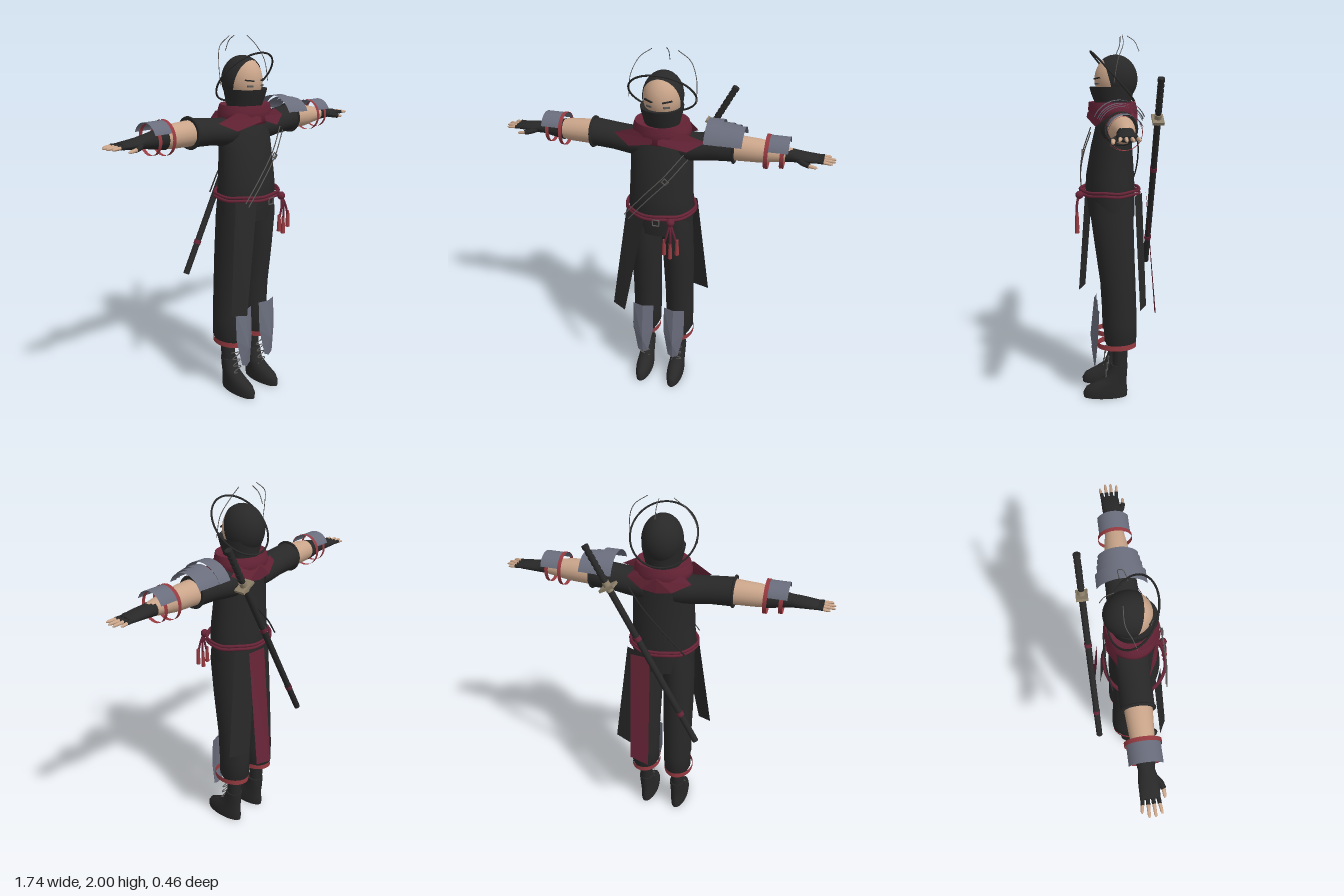
import * as THREE from 'three';
import { toCreasedNormals } from 'three/addons/utils/BufferGeometryUtils.js';

const mat = (name, color) => new THREE.MeshStandardMaterial({ name, color, side: THREE.DoubleSide });

// Elliptical cross-sections [y, centreX, centreZ, radiusX, radiusZ], bottom to top, ends capped
function loft(rows, n = 28) {
  const first = rows[0], last = rows[rows.length - 1];
  const all = [[...first.slice(0, 3), 0, 0], ...rows, [...last.slice(0, 3), 0, 0]];
  const pos = [], idx = [];
  all.forEach(([y, cx, cz, rx, rz], r) => {
    for (let i = 0; i < n; i++) {
      const a = (i / n) * Math.PI * 2;
      pos.push(cx + rx * Math.cos(a), y, cz + rz * Math.sin(a));
      if (r === 0) continue;
      const p = (r - 1) * n + i, q = (r - 1) * n + ((i + 1) % n);
      idx.push(p, p + n, q, q, p + n, q + n);
    }
  });
  const g = new THREE.BufferGeometry();
  g.setAttribute('position', new THREE.Float32BufferAttribute(pos, 3));
  g.setIndex(idx);
  return toCreasedNormals(g, 0.9);
}

// Flat sheet from its corner points
function sheet(points) {
  const pos = [];
  for (let i = 1; i < points.length - 1; i++) pos.push(...points[0], ...points[i], ...points[i + 1]);
  const g = new THREE.BufferGeometry();
  g.setAttribute('position', new THREE.Float32BufferAttribute(pos, 3));
  g.computeVertexNormals();
  return g;
}

function tube(points, r, closed = false) {
  const curve = new THREE.CatmullRomCurve3(points.map(p => new THREE.Vector3(...p)), closed);
  return new THREE.TubeGeometry(curve, points.length * 8, r, 6, closed);
}

// Mirror in x when s is negative, keeping faces outward
function side(g, s) {
  if (s > 0) return g;
  g.scale(-1, 1, 1);
  const idx = g.index ? Array.from(g.index.array) : [...Array(g.attributes.position.count).keys()];
  for (let i = 0; i < idx.length; i += 3) [idx[i + 1], idx[i + 2]] = [idx[i + 2], idx[i + 1]];
  g.setIndex(idx);
  return g;
}

// Loft along +x: rows [x, centreY, centreZ, radiusY, radiusZ]
const armLoft = rows => loft(rows.map(([x, y, z, ry, rz]) => [x, -y, z, ry, rz]), 20).rotateZ(-Math.PI / 2);

// Curved plate over an arm, from x0 to x1
const armPlate = (x0, x1, r, half) =>
  new THREE.CylinderGeometry(r, r, x1 - x0, 20, 1, true, -Math.PI / 2 - half, half * 2)
    .rotateZ(-Math.PI / 2).translate((x0 + x1) / 2, 1.54, 0);

export function createModel() {
  const root = new THREE.Group();
  const cloth = mat('black cloth', 0x282828), skin = mat('skin', 0xcaa58a);
  const steel = mat('blue grey steel', 0x6a6d7c), maroon = mat('maroon cloth', 0x672437);
  const red = mat('red strap', 0x963a40), tan = mat('tan metal', 0x8d8069), grey = mat('grey trim', 0x5c5a58);
  const add = (name, geo, m, parent = root) => {
    const mesh = new THREE.Mesh(geo, m);
    mesh.name = name;
    parent.add(mesh);
    return mesh;
  };

  // Head, hood and mask
  add('face', new THREE.SphereGeometry(1, 32, 24).scale(0.1, 0.123, 0.112).translate(0, 1.775, 0), skin);
  add('hood', new THREE.SphereGeometry(1, 32, 20, 0, Math.PI * 2, 0, 1.9)
    .rotateX(-Math.PI / 2 + 0.29).scale(0.104, 0.127, 0.117).translate(0, 1.775, 0), cloth);
  add('mask', loft([[1.58, 0, 0, 0.09, 0.085], [1.65, 0, 0.015, 0.092, 0.095],
    [1.7, 0, 0.018, 0.104, 0.112], [1.735, 0, 0.02, 0.11, 0.12], [1.728, 0, 0.02, 0.09, 0.09]]), cloth);
  for (const s of [1, -1]) {
    const brow = add('brow', new THREE.BoxGeometry(0.05, 0.007, 0.008), cloth);
    brow.position.set(s * 0.048, 1.78, 0.1);
    brow.rotation.set(0, s * 0.5, s * 0.12);
    const eye = add('eye', new THREE.BoxGeometry(0.032, 0.009, 0.008), grey);
    eye.position.set(s * 0.045, 1.752, 0.1);
    eye.rotation.y = s * 0.5;
    add('hatWire', tube([[s * 0.065, 1.998, -0.03], [s * 0.13, 1.95, -0.03],
      [s * 0.168, 1.87, 0], [s * 0.174, 1.76, 0.02]], 0.002), grey);
  }
  add('hatRearWire', tube([[0, 1.998, -0.06], [0, 1.97, -0.1], [0, 1.92, -0.125]], 0.002), grey);
  add('hatRing', new THREE.TorusGeometry(0.172, 0.005, 8, 64).rotateX(0.733).translate(0, 1.79, 0.017), cloth);

  // Shirt and scarf
  add('shirt', loft([[1.04, 0, 0.02, 0.168, 0.125], [1.18, 0, 0.03, 0.178, 0.135], [1.26, 0, 0.03, 0.172, 0.132],
    [1.42, 0, 0.022, 0.166, 0.112], [1.52, 0, 0.01, 0.168, 0.1], [1.58, 0, 0, 0.15, 0.09], [1.62, 0, 0, 0.09, 0.08]]), cloth);
  add('scarf', loft([[1.555, 0, 0.015, 0.12, 0.11], [1.58, 0, 0.015, 0.15, 0.127], [1.62, 0, 0.015, 0.152, 0.132],
    [1.657, 0, 0.018, 0.14, 0.125], [1.645, 0, 0.018, 0.1, 0.1]]), maroon);
  for (const s of [1, -1]) {
    add('scarfFlap', sheet([[0.015, 1.6, 0.15], [0.14, 1.625, 0.1], [0.24, 1.58, 0.07],
      [0.15, 1.535, 0.115], [0.015, 1.575, 0.155]].map(([x, y, z]) => [s * x, y, z])), maroon);
    add('scarfBackFlap', sheet([[0, 1.61, -0.118], [0.13, 1.62, -0.07], [0.17, 1.58, -0.07],
      [0.08, 1.54, -0.11], [0, 1.53, -0.115]].map(([x, y, z]) => [s * x, y, z])), maroon);
  }

  // Chest strap with buckle, and its run across the back
  for (const d of [-0.011, 0.011])
    add('strapEdge', tube([[-0.15 + d, 1.16 - d, 0.185], [-0.05 + d, 1.28 - d, 0.19],
      [0.06 + d, 1.4 - d, 0.175], [0.155 + d, 1.52 - d, 0.14]], 0.003), grey);
  add('strapBuckle', new THREE.TorusGeometry(0.018, 0.004, 6, 4).rotateZ(0.1).translate(0.06, 1.39, 0.182), grey);
  add('backStrap', tube([[0.155, 1.53, -0.09], [0.06, 1.42, -0.117], [-0.06, 1.29, -0.12], [-0.15, 1.18, -0.1]], 0.004), cloth);

  // Belt cords, buckle and tassels
  for (const y of [1.17, 1.188]) {
    const loop = [...Array(24)].map((_, i) => {
      const a = (i / 24) * Math.PI * 2;
      return [0.186 * Math.cos(a), y + 0.003 * Math.sin(a * 6), 0.033 + 0.163 * Math.sin(a)];
    });
    add('beltCord', tube(loop, 0.008, true), maroon);
  }
  add('beltBuckle', new THREE.TorusGeometry(0.024, 0.005, 6, 4, Math.PI * 2).rotateZ(Math.PI / 4).translate(0.015, 1.155, 0.2), grey);
  add('beltKnot', new THREE.SphereGeometry(0.022, 12, 8).translate(0.095, 1.17, 0.2), maroon);
  for (const [x, y] of [[0.065, 0.98], [0.098, 0.96], [0.135, 0.99]]) {
    add('tasselCord', tube([[0.095, 1.17, 0.205], [(x + 0.1) / 2, 1.11, 0.215], [x, y + 0.06, 0.215]], 0.006), maroon);
    add('tassel', new THREE.CylinderGeometry(0.008, 0.012, 0.09, 10).translate(x, y + 0.045, 0.215), red);
  }

  // Hanging cloth panels
  add('frontPanel', sheet([[-0.17, 1.17, 0.12], [-0.25, 0.56, 0.165], [-0.17, 0.55, 0.205], [-0.055, 1.17, 0.165]]), cloth);
  add('backPanel', sheet([[0.17, 1.17, -0.09], [0.245, 0.56, -0.115], [0.13, 0.55, -0.16], [0.06, 1.17, -0.14]]), cloth);
  add('maroonPanel', sheet([[0.13, 1.17, -0.155], [0.13, 0.5, -0.215], [0.02, 0.47, -0.222], [0.02, 1.17, -0.165]]), maroon);

  for (const s of [1, -1]) {
    const leg = new THREE.Group(), arm = new THREE.Group();
    leg.name = s > 0 ? 'leftLeg' : 'rightLeg';
    arm.name = s > 0 ? 'leftArm' : 'rightArm';
    root.add(leg, arm);
    const put = (name, g, m, p) => add(name, side(g, s), m, p);

    // Trousers, ankle and boot
    put('trouserLeg', loft([[0.3, 0.1, -0.02, 0.06, 0.07], [0.34, 0.1, -0.02, 0.078, 0.09], [0.45, 0.098, -0.02, 0.08, 0.092],
      [0.62, 0.096, -0.012, 0.081, 0.094], [0.85, 0.093, 0.008, 0.085, 0.105], [1.06, 0.086, 0.025, 0.086, 0.116],
      [1.15, 0.08, 0.025, 0.085, 0.11]]), cloth, leg);
    put('ankle', loft([[0.15, 0.1, -0.015, 0.036, 0.04], [0.32, 0.1, -0.02, 0.04, 0.045]], 16), cloth, leg);
    put('boot', loft([[0, 0.098, 0.065, 0.045, 0.123], [0.03, 0.098, 0.065, 0.048, 0.126], [0.06, 0.098, 0.058, 0.047, 0.116],
      [0.09, 0.098, 0.03, 0.044, 0.085], [0.125, 0.098, 0, 0.042, 0.058], [0.195, 0.098, -0.014, 0.044, 0.048]]), cloth, leg);
    put('laces', tube([...Array(8)].map((_, i) => [0.1 + (i % 2 ? 0.03 : -0.03), 0.11 + i * 0.02, 0.065 - i * 0.003]), 0.003), grey, leg);

    // Shin guard folded along a centre ridge, with its strap
    const ridge = [[0.092, 0.53, 0.118], [0.092, 0.3, 0.142], [0.092, 0.185, 0.128]];
    const inner = [[0.032, 0.53, 0.1], [0.032, 0.36, 0.108], [0.062, 0.2, 0.122]];
    for (const edge of [inner, inner.map(([x, y, z]) => [0.186 - x, y, z])])
      put('shinGuard', sheet([ridge[1], ridge[0], ...edge, ridge[2]]), steel, leg);
    put('shinStrap', new THREE.CylinderGeometry(1, 1, 0.03, 32, 1, true).scale(0.083, 1, 0.108).translate(0.102, 0.32, 0), red, leg);

    // Sleeve, forearm and wrist
    put('sleeve', armLoft([[0.08, 1.52, 0, 0.08, 0.09], [0.17, 1.522, 0, 0.072, 0.085],
      [0.26, 1.533, 0, 0.07, 0.08], [0.38, 1.542, -0.003, 0.073, 0.08]]), cloth, arm);
    put('sleeveCuff', new THREE.TorusGeometry(0.077, 0.007, 8, 32).rotateY(Math.PI / 2).translate(0.375, 1.541, 0), cloth, arm);
    put('forearm', armLoft([[0.36, 1.541, 0, 0.066, 0.068], [0.5, 1.539, 0, 0.06, 0.058], [0.66, 1.536, 0, 0.032, 0.036]]), skin, arm);
    const start = s > 0 ? 0.63 : 0.54;
    put('glove', armLoft([[start, 1.536, 0, s > 0 ? 0.037 : 0.056, s > 0 ? 0.042 : 0.056], [0.66, 1.535, 0, 0.033, 0.038],
      [0.71, 1.533, 0.003, 0.026, 0.048], [0.78, 1.532, 0, 0.018, 0.046], [0.79, 1.532, 0, 0.012, 0.04]]), cloth, arm);

    // Fingers, half covered by the glove
    for (let i = 0; i < 4; i++) {
      const z = (i - 1.5) * 0.023, tip = [0.86, 0.872, 0.872, 0.85][3 - i];
      put('fingerSleeve', tube([[0.77, 1.532, z], [0.815, 1.532, z * 1.12]], 0.0105), cloth, arm);
      put('finger', armLoft([[0.8, 1.532, z * 1.08, 0.009, 0.009], [tip - 0.01, 1.53, z * 1.25, 0.007, 0.007],
        [tip, 1.529, z * 1.28, 0.003, 0.003]]), skin, arm);
    }
    put('thumbSleeve', tube([[0.69, 1.528, 0.03], [0.72, 1.522, 0.055], [0.75, 1.517, 0.065]], 0.014), cloth, arm);
    put('thumb', armLoft([[0.74, 1.518, 0.064, 0.01, 0.01], [0.78, 1.513, 0.067, 0.008, 0.008], [0.79, 1.512, 0.067, 0.003, 0.003]]), skin, arm);

    // Bracer plate and its straps
    put('bracerPlate', armPlate(0.53, 0.645, 0.084, 1.2), steel, arm);
    for (const [x, r] of [[0.538, 0.087], [0.615, 0.077]])
      put('bracerStrap', new THREE.CylinderGeometry(r, r, 0.02, 28, 1, true).rotateZ(Math.PI / 2).translate(x, 1.54, 0), red, arm);
  }

  // Stepped shoulder guard on the left arm
  for (const [x0, x1, r] of [[0.235, 0.312, 0.136], [0.3, 0.362, 0.122], [0.35, 0.395, 0.116], [0.38, 0.422, 0.109]])
    add('shoulderPlate', armPlate(x0, x1, r, 1.17), steel);

  // Sheathed sword slung across the back
  const sword = new THREE.Group();
  sword.name = 'sword';
  sword.position.set(0.22, 1.575, -0.2);
  sword.rotation.z = -0.493;
  root.add(sword);
  const rod = (name, y0, y1, r, m) => add(name, new THREE.CylinderGeometry(r, r, y1 - y0, 16).translate(0, (y0 + y1) / 2, 0), m, sword);
  rod('sheath', -0.99, 0, 0.017, cloth);
  rod('handle', 0, 0.225, 0.015, cloth);
  rod('pommel', 0.215, 0.235, 0.018, cloth);
  rod('collar', -0.025, 0.03, 0.019, tan);
  add('guard', new THREE.BoxGeometry(0.085, 0.014, 0.06), tan, sword);
  for (let i = 0; i < 6; i++) rod('handleWrap', 0.045 + i * 0.028, 0.06 + i * 0.028, 0.0175, cloth);
  for (const y of [-0.31, -0.8]) rod('sheathBand', y - 0.012, y + 0.012, 0.0195, maroon);

  return root;
}
